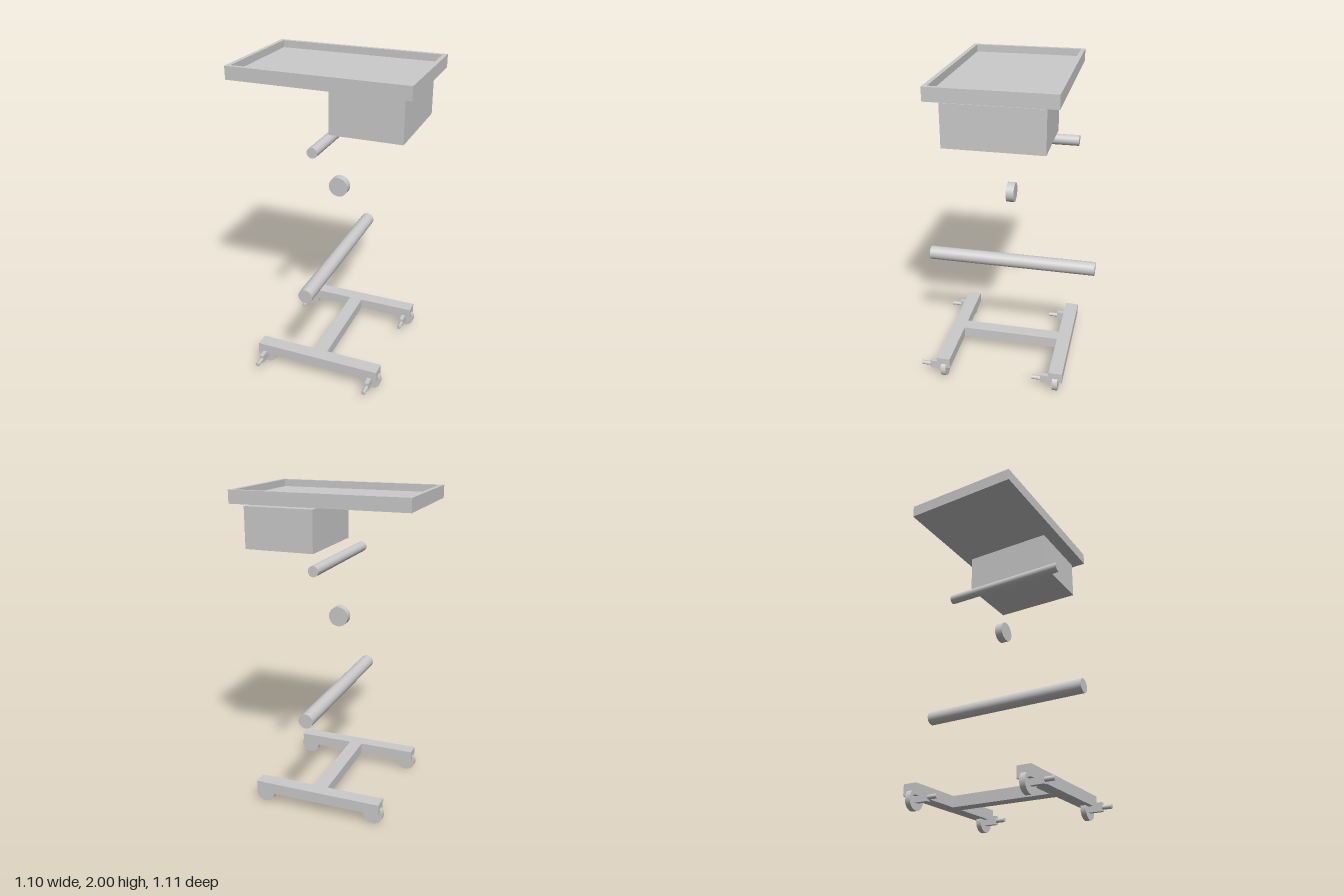
import * as THREE from 'three';

const grey = new THREE.MeshStandardMaterial({ color: 0xcccccc });

function add(parent, name, geometry, x, y, z) {
  const mesh = new THREE.Mesh(geometry, grey);
  mesh.name = name;
  mesh.position.set(x, y, z);
  parent.add(mesh);
  return mesh;
}

const box = (w, h, d) => new THREE.BoxGeometry(w, h, d);

// Cylinder lying along z
const rod = (r, length, sides = 32) =>
  new THREE.CylinderGeometry(r, r, length, sides).rotateX(Math.PI / 2);

function rectangle(PathType, w, d) {
  const p = new PathType();
  p.moveTo(-w / 2, -d / 2);
  p.lineTo(w / 2, -d / 2);
  p.lineTo(w / 2, d / 2);
  p.lineTo(-w / 2, d / 2);
  p.closePath();
  return p;
}

// Shallow tray: floor plate with a raised rim
function createTray() {
  const tray = new THREE.Group();
  tray.name = 'tableTop';
  add(tray, 'trayFloor', box(1.1, 0.035, 0.735), 0, 1.9375, 0);
  const rim = rectangle(THREE.Shape, 1.1, 0.735);
  rim.holes.push(rectangle(THREE.Path, 1.048, 0.683));
  const rimGeometry = new THREE.ExtrudeGeometry(rim, { depth: 0.045, bevelEnabled: false });
  rimGeometry.rotateX(-Math.PI / 2);
  add(tray, 'trayRim', rimGeometry, 0, 1.955, 0);
  return tray;
}

// Wheel with a brake block and a round pedal on its front side
function createCaster(x, z) {
  const caster = new THREE.Group();
  caster.name = 'caster';
  caster.position.set(x, 0, z);
  add(caster, 'wheel', rod(0.063, 0.034), 0, 0.063, 0);
  add(caster, 'brakeBlock', box(0.027, 0.054, 0.085), 0, 0.07, 0.058);
  add(caster, 'brakePedal', rod(0.0135, 0.06, 16), 0, 0.067, 0.13);
  return caster;
}

// H-shaped base on four casters
function createBase() {
  const base = new THREE.Group();
  base.name = 'base';
  for (const side of [1, -1]) {
    add(base, 'crossBar', box(0.83, 0.07, 0.088), 0, 0.115, side * 0.371);
    for (const x of [0.37, -0.37]) base.add(createCaster(x, side * 0.37));
  }
  add(base, 'centreBeam', box(0.088, 0.07, 0.654), 0, 0.115, 0);
  return base;
}

export function createModel() {
  const model = new THREE.Group();
  model.name = 'wheeledTable';
  model.add(createTray(), createBase());

  // Drawer unit hanging below the tray on the left
  add(model, 'drawerUnit', box(0.44, 0.255, 0.587), 0.272, 1.773, 0);

  // Separate round parts along the centre line
  add(model, 'upperRod', rod(0.032, 0.83), 0, 1.572, 0);
  add(model, 'knob', rod(0.063, 0.05), 0, 1.2, 0);
  add(model, 'lowerRod', rod(0.045, 1.105), 0, 0.705, 0);
  return model;
}
